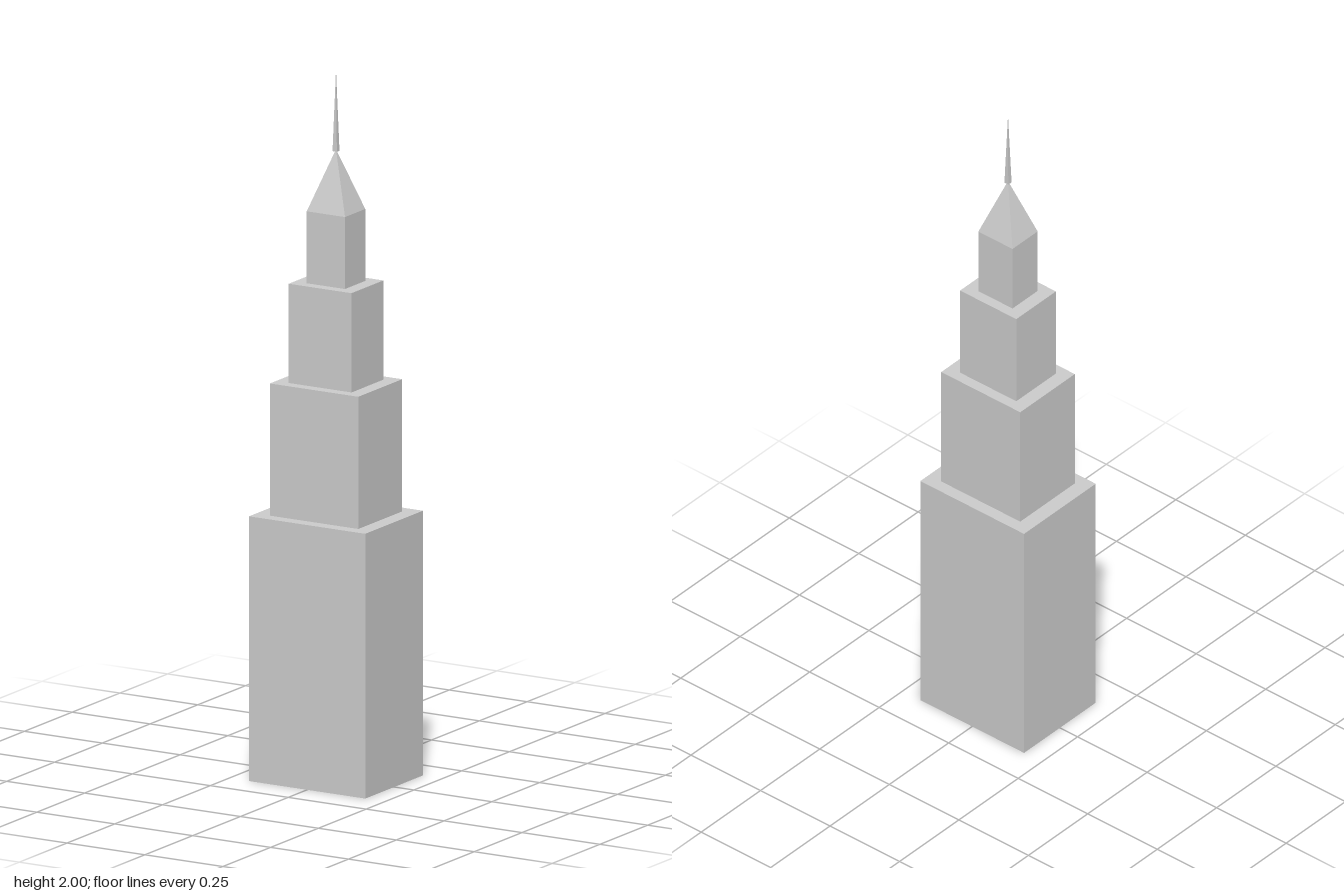
import * as THREE from 'three';

export function createModel() {
  const tower = new THREE.Group();
  tower.name = 'tower';

  const stone = new THREE.MeshStandardMaterial({
    color: 0xcccccc, flatShading: true, side: THREE.DoubleSide,
  });
  stone.name = 'pale grey stone';

  function add(name, geometry, y) {
    const mesh = new THREE.Mesh(geometry, stone);
    mesh.name = name;
    mesh.position.y = y;
    tower.add(mesh);
  }

  // Hollow block: a box without its underside
  function openBox(width, height, depth) {
    const box = new THREE.BoxGeometry(width, height, depth);
    const faces = Array.from(box.index.array);
    faces.splice(18, 6);
    box.setIndex(faces);
    box.clearGroups();
    return box;
  }

  // Four-sided pyramid with an open base
  function pyramid(width, height, depth) {
    return new THREE.ConeGeometry(Math.SQRT1_2, height, 4, 1, true)
      .rotateY(Math.PI / 4)
      .scale(width, 1, depth);
  }

  // Stepped tiers: name, width, depth, bottom, top
  const tiers = [
    ['baseTier', 0.373, 0.302, 0, 0.747],
    ['lowerTier', 0.284, 0.23, 0.747, 1.12],
    ['upperTier', 0.202, 0.167, 1.12, 1.4],
    ['crownTier', 0.123, 0.106, 1.4, 1.603],
  ];
  for (const [name, width, depth, bottom, top] of tiers) {
    add(name, openBox(width, top - bottom, depth), (bottom + top) / 2);
  }

  // Roof and needle
  add('roof', pyramid(0.123, 0.172, 0.106), 1.603 + 0.172 / 2);
  add('spire', pyramid(0.014, 0.23, 0.014), 1.77 + 0.23 / 2);

  return tower;
}
